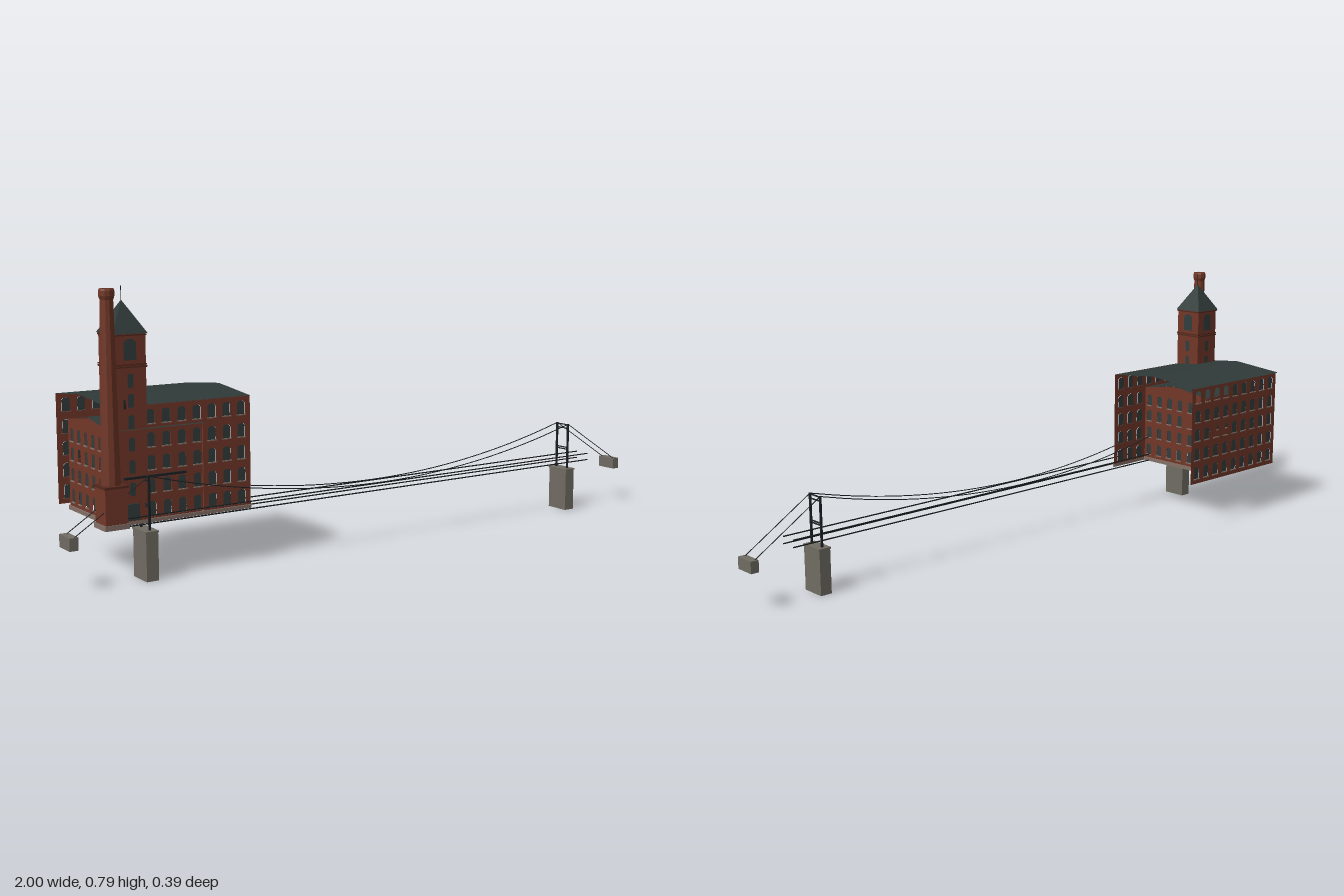
import * as THREE from 'three';

const mat = (name, color, side = THREE.DoubleSide) => {
  const m = new THREE.MeshStandardMaterial({ color, side });
  m.name = name;
  return m;
};

export function createModel() {
  const brick = mat('brick', 0x733828), slate = mat('slate', 0x2f3a38), glass = mat('window', 0x333d3d);
  const stone = mat('concrete', 0x716d64), iron = mat('iron', 0x1c2123), trim = mat('base stone', 0x857067);
  const darkBrick = mat('dark brick', 0x54281d);
  const model = new THREE.Group();

  const add = (parent, name, geo, material, x = 0, y = 0, z = 0) => {
    const mesh = new THREE.Mesh(geo, material);
    mesh.name = name;
    mesh.position.set(x, y, z);
    parent.add(mesh);
    return mesh;
  };
  const box = (parent, name, m, w, h, d, x, y, z) => add(parent, name, new THREE.BoxGeometry(w, h, d), m, x, y, z);
  const group = (parent, name) => {
    const g = new THREE.Group();
    g.name = name;
    parent.add(g);
    return g;
  };

  // Window outline with a round-headed top, centred on (x, y)
  const arch = (Type, x, y, w, h) => {
    const p = new Type(), r = w / 2, rise = w * 0.35, spring = y + h / 2 - rise;
    p.moveTo(x - r, y - h / 2);
    p.lineTo(x + r, y - h / 2);
    p.lineTo(x + r, spring);
    p.absellipse(x, spring, r, rise, 0, Math.PI, false);
    p.closePath();
    return p;
  };

  // Thin brick wall with a grid of windows; some panes are gone
  const wall = (parent, name, o) => {
    const g = group(parent, name);
    const s = new THREE.Shape();
    s.moveTo(-o.w / 2, 0);
    s.lineTo(o.w / 2, 0);
    s.lineTo(o.w / 2, o.h);
    if (o.peak) s.lineTo(0, o.peak);
    s.lineTo(-o.w / 2, o.h);
    s.closePath();
    const panes = [];
    o.rows.forEach((y, r) => {
      for (let c = 0; c < o.cols; c++) {
        const x = (c - (o.cols - 1) / 2) * o.step;
        s.holes.push(arch(THREE.Path, x, y, o.ww, o.wh));
        if (!(o.missing || []).includes(r + ':' + c)) panes.push(arch(THREE.Shape, x, y, o.ww, o.wh));
        box(g, 'windowSill', trim, o.ww + 0.004, 0.003, 0.004, x, y - o.wh / 2, 0.001);
      }
    });
    add(g, 'brickwork', new THREE.ShapeGeometry(s, 6), brick);
    add(g, 'windowPanes', new THREE.ShapeGeometry(panes, 6), glass, 0, 0, -0.002);
    return g;
  };

  // Open gable roof with its ridge along x
  const gableRoof = (parent, name, x0, x1, zMid, half, eave, ridge) => {
    const rise = ridge - eave, slope = Math.hypot(half, rise);
    for (const s of [1, -1]) {
      const m = add(parent, name, new THREE.PlaneGeometry(x1 - x0, slope), slate,
        (x0 + x1) / 2, (eave + ridge) / 2, zMid + s * half / 2);
      m.rotation.x = s > 0 ? -Math.atan2(half, rise) : Math.atan2(half, rise);
      if (s < 0) m.rotation.set(Math.atan2(half, rise) + Math.PI, 0, 0);
    }
  };

  const base = 0.155;
  // Main mill shell: long walls and roof, open at the ends
  const mill = group(model, 'mainMill');
  const long = { w: 0.43, h: 0.318, cols: 9, step: 0.0465, rows: [0.035, 0.097, 0.16, 0.222, 0.285], ww: 0.024, wh: 0.04 };
  wall(mill, 'frontWall', long).position.set(-0.652, base, 0.152);
  const back = wall(mill, 'backWall', { ...long, missing: ['4:0', '4:1', '4:2', '4:3', '2:2', '2:3'] });
  back.rotation.y = Math.PI;
  back.position.set(-0.652, base, -0.19);
  gableRoof(mill, 'mainRoof', -0.868, -0.436, -0.022, 0.178, 0.472, 0.489);
  box(mill, 'frontFooting', trim, 0.43, 0.01, 0.006, -0.652, 0.158, 0.154);

  // Inner wing with gabled ends
  const wing = group(model, 'wing');
  const end = {
    w: 0.278, h: 0.255, peak: 0.273, cols: 6, step: 0.0455, rows: [0.04, 0.1, 0.158, 0.212],
    ww: 0.019, wh: 0.038,
  };
  const east = wall(wing, 'rightGable', { ...end, missing: ['2:4'] });
  east.rotation.y = Math.PI / 2;
  east.position.set(-0.59, base, 0.018);
  const west = wall(wing, 'leftGable', { ...end, missing: ['2:1'] });
  west.rotation.y = -Math.PI / 2;
  west.position.set(-0.862, base, 0.018);
  const rear = wall(wing, 'wingBackWall', { ...end, w: 0.272, peak: 0 });
  rear.rotation.y = Math.PI;
  rear.position.set(-0.726, base, -0.12);
  gableRoof(wing, 'wingRoof', -0.866, -0.586, 0.018, 0.143, 0.409, 0.431);
  for (const x of [-0.862, -0.59]) {
    box(wing, 'gableFooting', trim, 0.008, 0.012, 0.28, x, 0.159, 0.018);
  }

  // Stair tower with bands, windows, pyramid roof and finial
  const tower = group(model, 'stairTower');
  tower.position.set(-0.803, 0, 0.11);
  box(tower, 'towerBody', brick, 0.092, 0.508, 0.092, 0, 0.409, 0);
  for (const y of [0.576, 0.582, 0.66]) box(tower, 'towerBand', darkBrick, 0.097, 0.004, 0.097, 0, y, 0);
  const towerRoof = add(tower, 'towerRoof', new THREE.ConeGeometry(0.0715, 0.087, 4).toNonIndexed(), slate, 0, 0.707, 0);
  towerRoof.geometry.computeVertexNormals();
  towerRoof.rotation.y = Math.PI / 4;
  add(tower, 'finial', new THREE.CylinderGeometry(0.001, 0.001, 0.04, 6), iron, 0, 0.767, 0);
  for (let i = 0; i < 4; i++) {
    const face = group(tower, 'towerFace');
    face.rotation.y = i * Math.PI / 2;
    const shapes = [arch(THREE.Shape, 0, 0.622, 0.036, 0.056)];
    const ys = i === 0 ? [0.54, 0.487, 0.43, 0.37, 0.31, 0.25] : [0.54, 0.487, 0.43];
    for (const y of ys) shapes.push(arch(THREE.Shape, 0, y, 0.017, 0.037));
    add(face, 'towerWindows', new THREE.ShapeGeometry(shapes, 6), glass, 0, 0, 0.0468);
  }
  box(tower, 'doorway', glass, 0.04, 0.045, 0.006, -0.002, 0.188, 0.047);
  box(tower, 'wallBracket', iron, 0.004, 0.024, 0.006, -0.02, 0.478, 0.049);
  box(model, 'wallBeam', iron, 0.185, 0.006, 0.006, -0.738, 0.28, 0.16);

  // Tapered chimney on a square pedestal
  const chimney = group(model, 'chimney');
  chimney.position.set(-0.866, 0, 0.156);
  box(chimney, 'pedestal', brick, 0.064, 0.11, 0.064, 0, 0.212, 0);
  box(chimney, 'pedestalCap', darkBrick, 0.069, 0.006, 0.069, 0, 0.266, 0);
  box(chimney, 'pedestalFooting', trim, 0.07, 0.014, 0.07, 0, 0.16, 0);
  const profile = [[0.026, 0.265], [0.0175, 0.755], [0.021, 0.765], [0.021, 0.778], [0.019, 0.784], [0.014, 0.784], [0.013, 0.74]];
  const stack = new THREE.LatheGeometry(profile.map(([r, y]) => new THREE.Vector2(r, y)), 10).toNonIndexed();
  stack.computeVertexNormals();
  add(chimney, 'stack', stack, brick);
  add(chimney, 'flue', new THREE.CircleGeometry(0.0135, 10).rotateX(-Math.PI / 2), iron, 0, 0.75, 0);

  // Suspension footbridge: piers, portal frames, anchors, cables and rails
  const bridge = group(model, 'footbridge');
  const zMid = 0.153, zs = [0.128, 0.178], px = 0.767;
  const cable = (name, curve, n, r) => add(bridge, name, new THREE.TubeGeometry(curve, n, r, 5), iron);
  const v = (x, y, z) => new THREE.Vector3(x, y, z);
  for (const s of [-1, 1]) {
    box(bridge, 'pier', stone, 0.036, 0.133, 0.077, s * px, 0.0665, zMid);
    box(bridge, 'pierCap', stone, 0.04, 0.005, 0.081, s * px, 0.1345, zMid);
    box(bridge, 'anchorBlock', stone, 0.025, 0.035, 0.065, s * 0.9875, 0.131, zMid);
    for (const z of zs) {
      box(bridge, 'portalLeg', iron, 0.006, 0.15, 0.005, s * px, 0.21, z);
      cable('backstay', new THREE.LineCurve3(v(s * px, 0.284, z), v(s * 0.985, 0.146, z)), 1, 0.0013);
    }
    for (const y of [0.2, 0.206, 0.27, 0.282]) box(bridge, 'portalBar', iron, 0.004, 0.003, 0.05, s * px, y, zMid);
  }
  for (const z of zs) {
    const pts = [];
    for (let i = 0; i <= 16; i++) {
      const t = i / 8 - 1;
      pts.push(v(t * px, 0.179 + 0.105 * t * t, z));
    }
    cable('mainCable', new THREE.CatmullRomCurve3(pts), 40, 0.0015);
    for (const y of [0.156, 0.177]) box(bridge, 'rail', iron, 1.72, 0.003, 0.003, 0, y, z);
  }
  return model;
}
